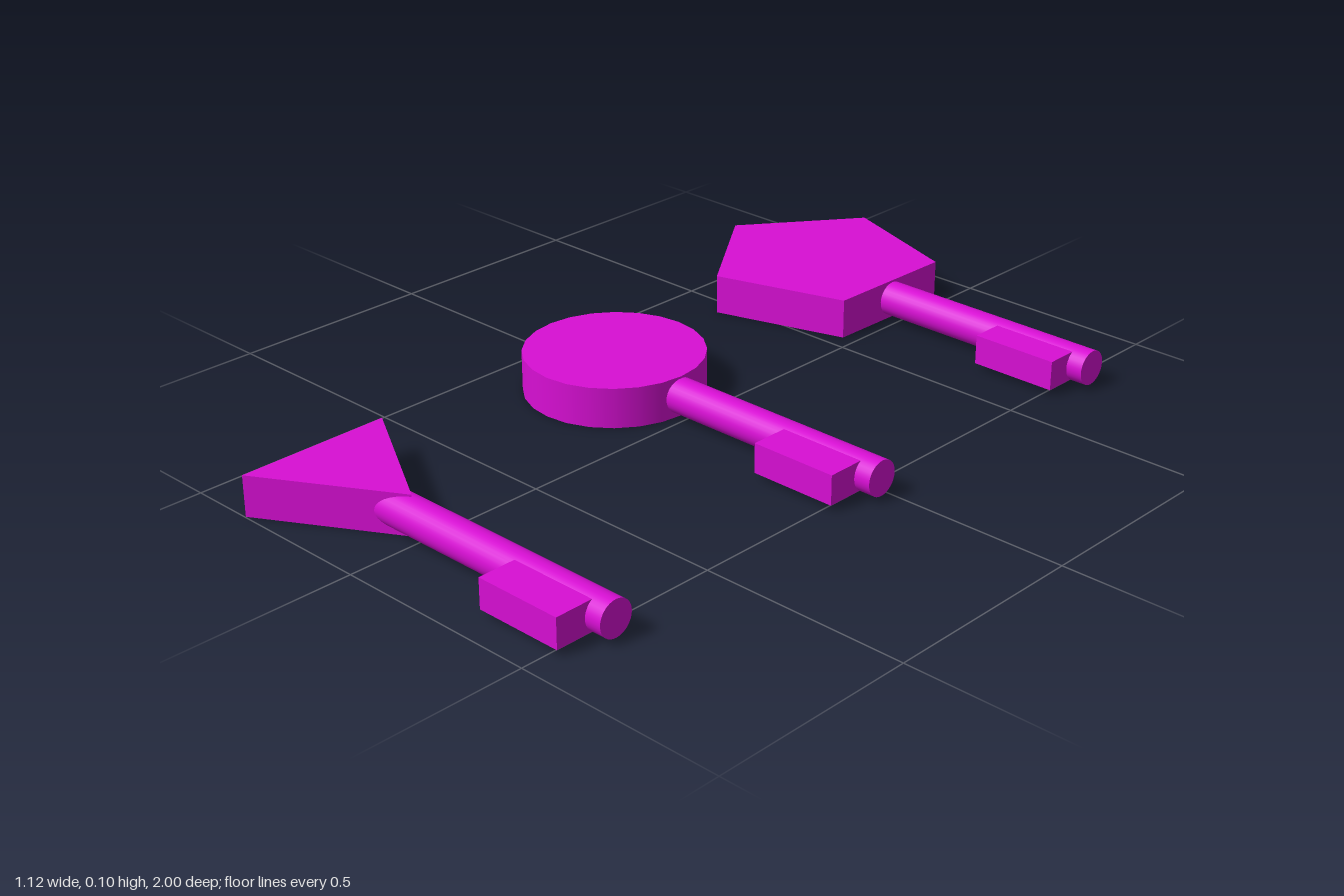
import * as THREE from 'three';

const HEIGHT = 0.097;
const SHAFT_Y = 0.05;
const SHAFT_END = 0.56;

export function createModel() {
  const root = new THREE.Group();
  root.name = 'keySet';
  const material = new THREE.MeshStandardMaterial({ color: 0xd80fd4 });

  const add = (group, name, geometry, x, y, z) => {
    const mesh = new THREE.Mesh(geometry, material);
    mesh.name = name;
    mesh.position.set(x, y, z);
    group.add(mesh);
  };

  // Flat slab from an outline of [x, z] corners, standing on y = 0
  const slab = (points) => {
    const shape = new THREE.Shape(points.map(([x, z]) => new THREE.Vector2(x, z)));
    return new THREE.ExtrudeGeometry(shape, { depth: HEIGHT, bevelEnabled: false })
      .rotateX(Math.PI / 2)
      .translate(0, HEIGHT, 0);
  };

  // Round shaft along x, with a rectangular bit on its front side
  const makeKey = (name, z, shaftStart, bitReach) => {
    const key = new THREE.Group();
    key.name = name;
    key.position.z = z;
    const length = SHAFT_END - shaftStart;
    const shaft = new THREE.CylinderGeometry(0.042, 0.042, length, 32).rotateZ(-Math.PI / 2);
    add(key, 'shaft', shaft, shaftStart + length / 2, SHAFT_Y, 0);
    const bitStart = 0.01;
    const bit = new THREE.BoxGeometry(0.215, 0.071, bitReach - bitStart);
    add(key, 'bit', bit, 0.412, SHAFT_Y, (bitStart + bitReach) / 2);
    root.add(key);
    return key;
  };

  // Key with a slightly irregular pentagon head
  const pentagonKey = makeKey('pentagonKey', -0.724, -0.06, 0.102);
  add(pentagonKey, 'pentagonHead', slab([
    [-0.56, -0.003], [-0.353, -0.276], [-0.029, -0.165], [-0.036, 0.179], [-0.362, 0.278],
  ]), 0, 0, 0);

  // Key with a round head
  const roundKey = makeKey('roundKey', 0.032, -0.06, 0.115);
  add(roundKey, 'roundHead', new THREE.CylinderGeometry(0.213, 0.213, HEIGHT, 24), -0.236, HEIGHT / 2, 0);

  // Key with a triangular head, its tip sunk into the shaft
  const triangleKey = makeKey('triangleKey', 0.813, -0.115, 0.115);
  add(triangleKey, 'triangleHead', slab([
    [-0.345, -0.185], [-0.027, 0], [-0.345, 0.185],
  ]), 0, 0, 0);

  return root;
}
